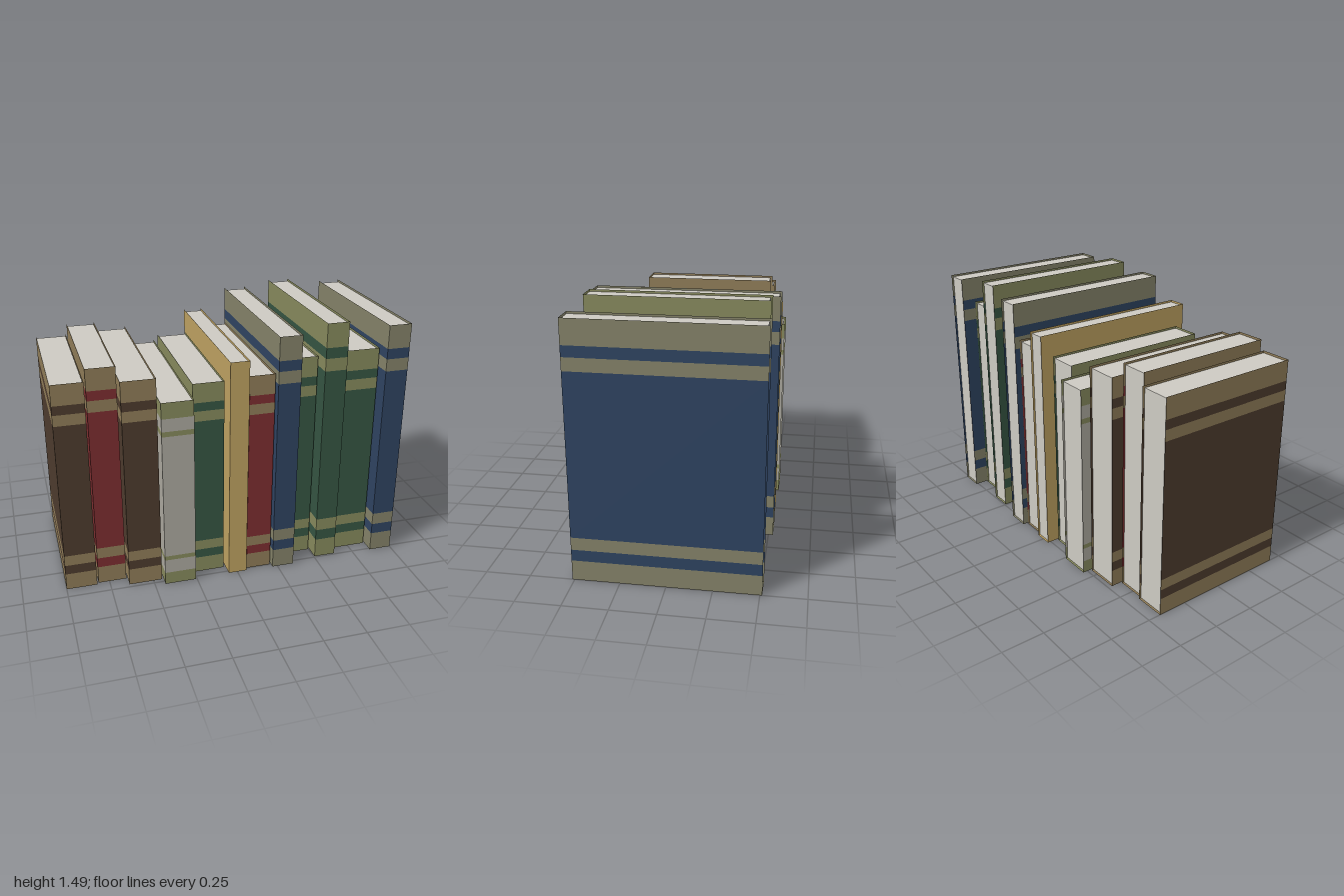
import * as THREE from 'three';
import { mergeGeometries } from 'three/addons/utils/BufferGeometryUtils.js';

const paint = (name, color) => {
  const m = new THREE.MeshStandardMaterial({ color, side: THREE.DoubleSide });
  m.name = name;
  return m;
};

const M = {
  brown: paint('dark brown cloth', 0x4c3b2d),
  red: paint('red cloth', 0x7b2d2f),
  grey: paint('grey cloth', 0xaaa79d),
  green: paint('green cloth', 0x355441),
  gold: paint('gold cloth', 0xbca060),
  blue: paint('blue cloth', 0x2e4360),
  tan: paint('tan band', 0x8e7b57),
  olive: paint('olive band', 0x85885c),
  stone: paint('stone band', 0x838168),
  pages: paint('page edges', 0xcdcac2),
};

// Heights where the cover switches between band and cloth, as fractions of the book height
const BANDED = [0, 0.08, 0.125, 0.175, 0.813, 0.863, 0.905, 1];
const THIN = [0, 0.066, 0.14, 0.163, 0.825, 0.851, 0.917, 1];
const PLAIN = [0, 1];

// left x, right x, height, half depth, cloth, band, pattern
const BOOKS = [
  [-1.0, -0.823, 1.262, 0.425, 'brown', 'tan', BANDED],
  [-0.813, -0.65, 1.327, 0.41, 'red', 'tan', BANDED],
  [-0.642, -0.449, 1.262, 0.475, 'brown', 'tan', BANDED],
  [-0.439, -0.257, 1.14, 0.527, 'grey', 'olive', THIN],
  [-0.246, -0.067, 1.2, 0.452, 'green', 'olive', BANDED],
  [-0.053, 0.056, 1.327, 0.52, 'gold', 'gold', PLAIN],
  [0.064, 0.211, 1.23, 0.498, 'red', 'tan', BANDED],
  [0.219, 0.35, 1.447, 0.527, 'blue', 'stone', BANDED],
  [0.358, 0.495, 1.273, 0.405, 'green', 'olive', BANDED],
  [0.505, 0.634, 1.487, 0.492, 'green', 'olive', BANDED],
  [0.642, 0.856, 1.297, 0.432, 'green', 'olive', BANDED],
  [0.866, 1.0, 1.452, 0.512, 'blue', 'stone', BANDED],
];

const INSET = 0.012; // pages sit back from the cover edges
const GAP = 0.002;

// Spine and both boards between two heights
function wrap(w, d, y0, y1) {
  const h = y1 - y0, y = (y0 + y1) / 2;
  return [
    new THREE.PlaneGeometry(w, h).translate(0, y, d),
    new THREE.PlaneGeometry(2 * d, h).rotateY(Math.PI / 2).translate(w / 2, y, 0),
    new THREE.PlaneGeometry(2 * d, h).rotateY(-Math.PI / 2).translate(-w / 2, y, 0),
  ];
}

function makeBook([x0, x1, h, d, cloth, band, cuts]) {
  const book = new THREE.Group();
  const w = x1 - x0;
  const add = (name, geometry, material) => {
    const mesh = new THREE.Mesh(geometry, material);
    mesh.name = name;
    book.add(mesh);
  };

  // Cover strips alternate band, cloth, band; the underside belongs to the band
  const bands = [new THREE.PlaneGeometry(w, 2 * d).rotateX(Math.PI / 2)];
  const cloths = [];
  for (let i = 0; i < cuts.length - 1; i++) {
    (i % 2 ? cloths : bands).push(...wrap(w, d, cuts[i] * h, cuts[i + 1] * h));
  }
  add('coverBands', mergeGeometries(bands), M[band]);
  if (cloths.length) add('coverCloth', mergeGeometries(cloths), M[cloth]);

  // Page block, recessed at the top and the back
  const ph = h - INSET - GAP, pd = 2 * d - INSET - GAP;
  add('pages', new THREE.BoxGeometry(w - 2 * GAP, ph, pd)
    .translate(0, GAP + ph / 2, (INSET - GAP) / 2), M.pages);

  book.position.x = (x0 + x1) / 2;
  return book;
}

export function createModel() {
  const group = new THREE.Group();
  group.name = 'bookRow';
  BOOKS.forEach((spec, i) => {
    const book = makeBook(spec);
    book.name = 'book' + (i + 1);
    group.add(book);
  });
  return group;
}
